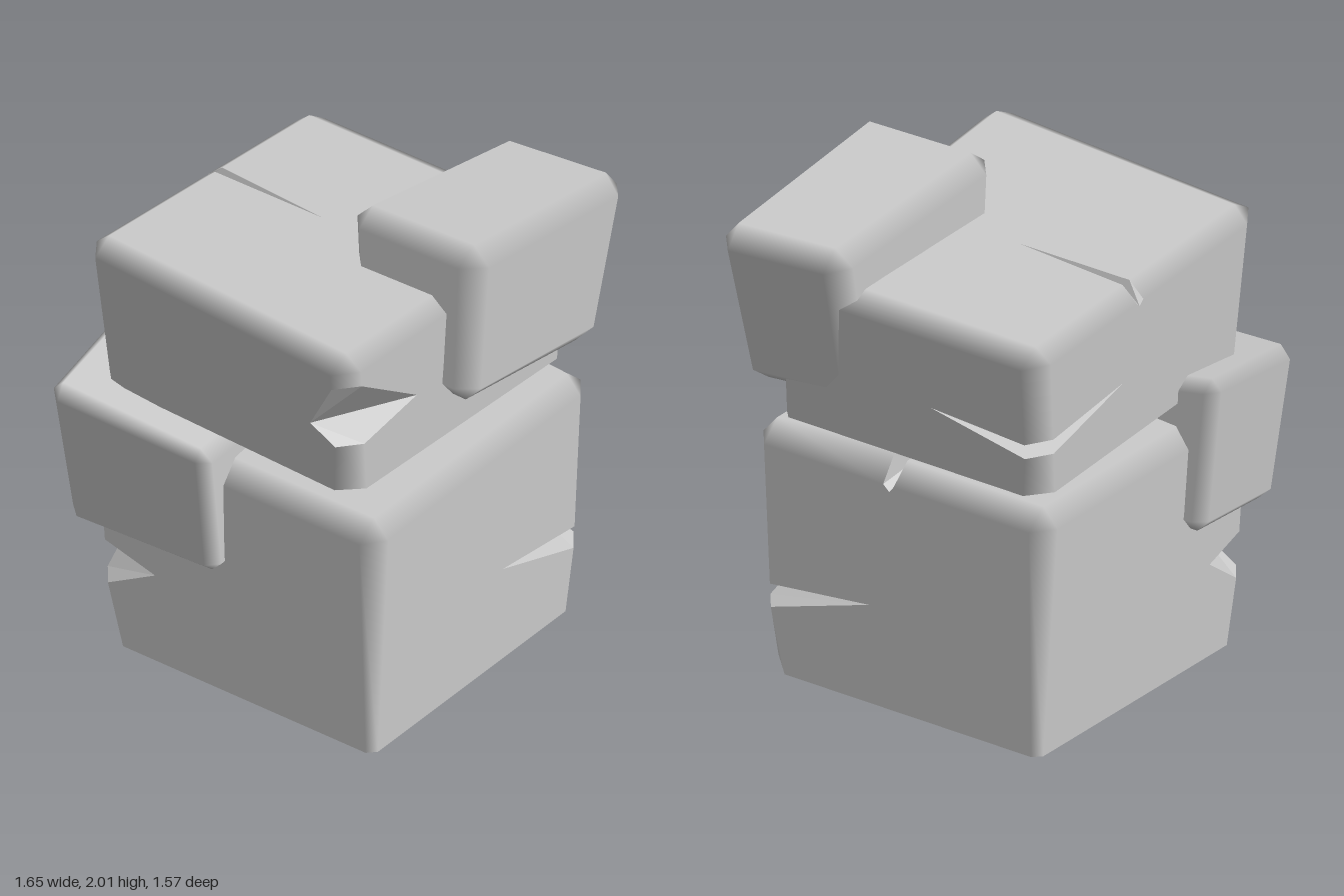
import * as THREE from 'three';

const material = new THREE.MeshStandardMaterial({ color: 0xcccccc, side: THREE.DoubleSide });

// A bevelled block spanned by eight corners, with wedge notches cut into its edges.
// corners: order x fastest, then y, then z, low to high. bevel: share of each half size.
// notch: [edge axis, signs of the two faces, lower lip, upper lip, valley,
//         valley end on face a, valley end on face o, lift of the upper lip]
function stone(name, corners, bevel, { notches = [], foot = null } = {}) {
  const c = corners.map(p => new THREE.Vector3(...p));
  const pos = [], nor = [];

  const world = q => {
    const out = new THREE.Vector3();
    c.forEach((p, i) => {
      let k = 1;
      for (let a = 0; a < 3; a++) k *= (1 + ((i >> a) & 1 ? q[a] : -q[a])) / 2;
      out.addScaledVector(p, k);
    });
    return out;
  };
  const axes = (...pairs) => {
    const q = [0, 0, 0];
    pairs.forEach(([a, v]) => { q[a] = v; });
    return q;
  };
  const findNotch = (e, sa, so) => notches.find(n => n[0] === e && n[1] === sa && n[2] === so);

  // Bevelled point of a corner that lies on the face across one axis
  const facePoint = (axis, s) => s.map((v, a) => {
    if (a === axis) return v;
    let b = bevel[a];
    if (foot !== null && s[1] < 0) b = a === 1 ? 0 : (findNotch(1, s[2], s[0]) ? foot : 0.05);
    return v * (1 - b);
  });

  // Triangle turned to face a direction; without given normals it is flat
  const tri = (pts, dir, normals) => {
    let [p, q, r] = pts.map(world);
    const n = q.clone().sub(p).cross(r.clone().sub(p));
    if (n.length() < 1e-9) return;
    let ns = normals;
    if (n.dot(dir) < 0) {
      [q, r] = [r, q];
      n.negate();
      if (ns) ns = [ns[0], ns[2], ns[1]];
    }
    n.normalize();
    [p, q, r].forEach((v, i) => {
      pos.push(v.x, v.y, v.z);
      nor.push(...(ns ? ns[i] : n).toArray());
    });
  };
  const quad = (p, dir, n) => {
    tri([p[0], p[1], p[2]], dir, n && [n[0], n[1], n[2]]);
    tri([p[0], p[2], p[3]], dir, n && [n[0], n[2], n[3]]);
  };
  const open = (a, s) => foot !== null && a === 1 && s < 0;

  // Lips and valley ends of a notch, on face a and on face o
  const cut = n => {
    const [e, sa, so, lo, hi, t, endA, endO, lift = 0] = n;
    const a = (e + 1) % 3, o = (e + 2) % 3;
    const onA = (v, w) => axes([e, v], [a, sa], [o, w]);
    const onO = (v, w, up = 0) => axes([e, v], [a, w], [o, so * (1 + up)]);
    const wa = so * (1 - bevel[o]), wo = sa * (1 - bevel[a]);
    return {
      [a]: [onA(lo, wa), onA(t, endA), onA(hi, wa)],
      [o]: [onO(lo, wo), onO(t, endO), onO(hi, wo, lift)],
    };
  };

  // Main faces
  const faceNormal = {};
  for (let a = 0; a < 3; a++) for (const s of [-1, 1]) {
    const b = (a + 1) % 3, d = (a + 2) % 3;
    const ring = [[-1, -1], [1, -1], [1, 1], [-1, 1]].map(([u, v]) => axes([a, s], [b, u], [d, v]));
    const w = ring.map(r => world(facePoint(a, r)));
    const n = w[2].clone().sub(w[0]).cross(w[3].clone().sub(w[1])).multiplyScalar(s).normalize();
    faceNormal[a + ':' + s] = n;
    if (open(a, s)) continue;
    const poly = [];
    ring.forEach((r, i) => {
      poly.push(facePoint(a, r));
      const next = ring[(i + 1) % 4];
      const e = r[b] !== next[b] ? b : d;
      const notch = findNotch(e, r[(e + 1) % 3], r[(e + 2) % 3]);
      if (notch) {
        const pts = cut(notch)[a];
        poly.push(...(r[e] < 0 ? pts : pts.slice().reverse()));
      }
    });
    const flat = poly.map(p => new THREE.Vector2(p[b], p[d]));
    THREE.ShapeUtils.triangulateShape(flat, []).forEach(f => tri(f.map(i => poly[i]), n, [n, n, n]));
  }

  // Edge bevels, interrupted by the notches
  for (let e = 0; e < 3; e++) for (const sa of [-1, 1]) for (const so of [-1, 1]) {
    const a = (e + 1) % 3, o = (e + 2) % 3;
    if (open(a, sa) || open(o, so)) continue;
    const nA = faceNormal[a + ':' + sa], nO = faceNormal[o + ':' + so];
    const dir = nA.clone().add(nO);
    const ends = [-1, 1].map(t => axes([e, t], [a, sa], [o, so]));
    const A = ends.map(q => facePoint(a, q)), O = ends.map(q => facePoint(o, q));
    const ns = [nA, nO, nO, nA];
    const notch = findNotch(e, sa, so);
    if (!notch) { quad([A[0], O[0], O[1], A[1]], dir, ns); continue; }
    const { [a]: ca, [o]: co } = cut(notch);
    quad([A[0], O[0], co[0], ca[0]], dir, ns);
    quad([ca[2], co[2], O[1], A[1]], dir, ns);
    const along = new THREE.Vector3(...axes([e, 1]));
    quad([ca[0], co[0], co[1], ca[1]], along);
    quad([ca[2], co[2], co[1], ca[1]], along.clone().negate());
  }

  // Corner bevels
  for (const x of [-1, 1]) for (const y of [-1, 1]) for (const z of [-1, 1]) {
    if (open(1, y)) continue;
    const s = [x, y, z];
    tri([0, 1, 2].map(a => facePoint(a, s)), new THREE.Vector3(x, y, z),
      s.map((v, a) => faceNormal[a + ':' + v]));
  }

  const geometry = new THREE.BufferGeometry();
  geometry.setAttribute('position', new THREE.Float32BufferAttribute(pos, 3));
  geometry.setAttribute('normal', new THREE.Float32BufferAttribute(nor, 3));
  const mesh = new THREE.Mesh(geometry, material);
  mesh.name = name;
  return mesh;
}

export function createModel() {
  const group = new THREE.Group();
  group.name = 'stackedRocks';

  // Large base rock, hollow underneath
  group.add(stone('lowerRock', [
    [-0.66, 0, -0.62], [0.65, 0, -0.62], [-0.7, 1.04, -0.67], [0.68, 1.04, -0.67],
    [-0.68, 0, 0.69], [0.65, 0, 0.69], [-0.71, 1.04, 0.72], [0.68, 1.04, 0.72],
  ], [0.13, 0.15, 0.1], {
    foot: 0.18,
    notches: [
      [1, 1, 1, -0.48, -0.29, -0.19, 0.2, 0.2],
      [1, -1, -1, -0.48, -0.1, -0.23, -0.6, -0.55],
      [2, 1, 1, 0.02, 0.09, 0.05, 0.8, 0.2, 0.09],
    ],
  }));

  // Tilted slab resting on the base
  group.add(stone('upperRock', [
    [-0.64, 1.16, -0.6], [0.63, 1.08, -0.62], [-0.72, 1.83, -0.67], [0.7, 1.7, -0.64],
    [-0.73, 1.18, 0.63], [0.63, 1.08, 0.6], [-0.83, 1.83, 0.67], [0.7, 1.7, 0.62],
  ], [0.14, 0.18, 0.11], {
    foot: 0.14,
    notches: [
      [1, 1, -1, -0.3, 0.6, -0.1, -0.38, 0.7],
      [1, -1, 1, -0.45, -0.25, -0.16, 0.2, -0.18],
      [0, 1, -1, 0.05, 0.11, 0.08, -0.1, 0.75],
    ],
  }));

  // Small rock set into the front of the slab
  group.add(stone('frontRock', [
    [-0.16, 1.33, 0.2], [0.62, 1.2, 0.25], [-0.17, 2.02, 0.16], [0.77, 1.89, 0.24],
    [-0.16, 1.31, 0.75], [0.68, 1.19, 0.75], [-0.15, 2.02, 0.78], [0.84, 1.89, 0.79],
  ], [0.18, 0.22, 0.25]));

  // Small rock leaning on the back of the base
  group.add(stone('backRock', [
    [-0.77, 0.55, -0.68], [-0.22, 0.62, -0.74], [-0.84, 1.19, -0.74], [-0.24, 1.28, -0.79],
    [-0.75, 0.56, 0], [-0.25, 0.6, 0], [-0.84, 1.17, 0.02], [-0.3, 1.1, -0.05],
  ], [0.18, 0.16, 0.14]));

  return group;
}
